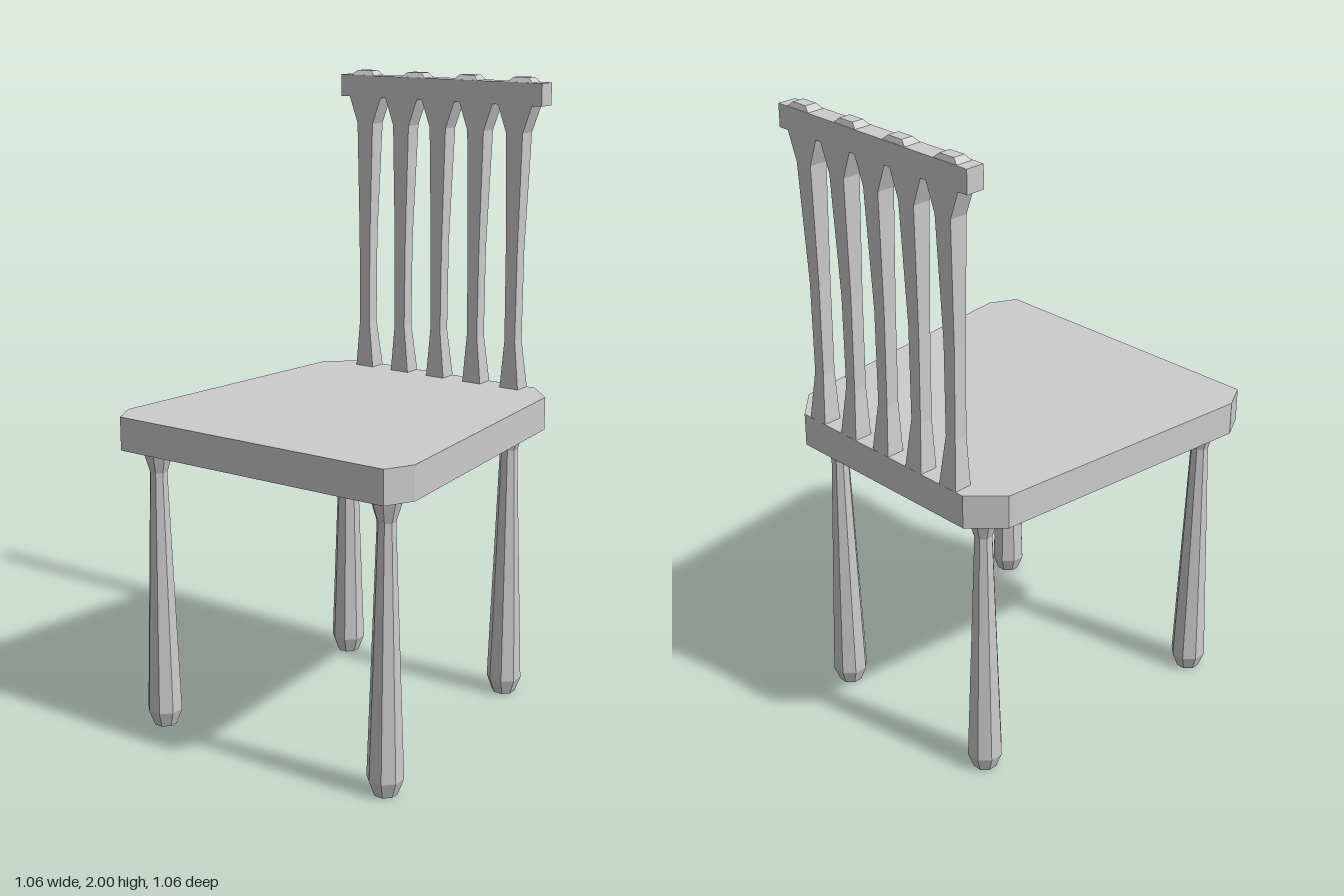
import * as THREE from 'three';

const material = new THREE.MeshStandardMaterial({ color: 0xcccccc, flatShading: true });

function addPart(parent, name, geometry, x = 0, y = 0, z = 0) {
  const mesh = new THREE.Mesh(geometry, material);
  mesh.name = name;
  mesh.position.set(x, y, z);
  parent.add(mesh);
  return mesh;
}

// Tapered plank with chamfered corners
function seatGeometry() {
  const half = [[0.345, -0.527], [0.437, -0.435], [0.528, 0.44], [0.483, 0.527]];
  const outline = [...half, ...half.map(([x, z]) => [-x, z]).reverse()];
  const shape = new THREE.Shape(outline.map(([x, z]) => new THREE.Vector2(x, -z)));
  return new THREE.ExtrudeGeometry(shape, { depth: 0.105, bevelEnabled: false }).rotateX(-Math.PI / 2);
}

// Eight-sided turned leg, flats facing front and side
function legGeometry() {
  const profile = [[0, 0], [0.037, 0], [0.056, 0.05], [0.054, 0.11], [0.028, 0.83], [0.053, 0.912], [0, 0.912]];
  return new THREE.LatheGeometry(profile.map(([r, y]) => new THREE.Vector2(r, y)), 8, Math.PI / 8);
}

// Back slat: straight front, waisted sides and back, flared top
function slatGeometry() {
  // height, half width, back z
  const rings = [[1.01, 0.034, -0.527], [1.17, 0.019, -0.511], [1.46, 0.021, -0.511],
    [1.83, 0.03, -0.526], [1.918, 0.062, -0.527]];
  const geometry = new THREE.BoxGeometry(2, rings.length - 1, 2, 1, rings.length - 1, 1);
  const p = geometry.attributes.position;
  for (let i = 0; i < p.count; i++) {
    const [y, w, back] = rings[Math.round(p.getY(i) + (rings.length - 1) / 2)];
    p.setXYZ(i, p.getX(i) * w, y, p.getZ(i) > 0 ? -0.468 : back);
  }
  geometry.computeVertexNormals();
  return geometry;
}

// Small truncated pyramid on the top rail
function studGeometry() {
  const geometry = new THREE.BoxGeometry(0.1, 0.02, 0.06);
  const p = geometry.attributes.position;
  for (let i = 0; i < p.count; i++) {
    if (p.getY(i) > 0) p.setXYZ(i, p.getX(i) * 0.54, p.getY(i), p.getZ(i) > 0 ? 0.016 : -0.022);
  }
  geometry.computeVertexNormals();
  return geometry;
}

export function createModel() {
  const chair = new THREE.Group();
  chair.name = 'chair';

  addPart(chair, 'seat', seatGeometry(), 0, 0.91, 0);

  // Legs, wider apart at the front
  const leg = legGeometry();
  for (const [side, s] of [['left', 1], ['right', -1]]) {
    addPart(chair, side + 'FrontLeg', leg, s * 0.424, 0, 0.426);
    addPart(chair, side + 'BackLeg', leg, s * 0.317, 0, -0.42);
  }

  // Backrest
  const backrest = new THREE.Group();
  backrest.name = 'backrest';
  chair.add(backrest);
  const slat = slatGeometry();
  for (let i = -2; i <= 2; i++) addPart(backrest, 'backSlat', slat, i * 0.1415);
  addPart(backrest, 'topRail', new THREE.BoxGeometry(0.756, 0.07, 0.06), 0, 1.95, -0.498);
  const stud = studGeometry();
  for (let i = 0; i < 4; i++) addPart(backrest, 'railStud', stud, (i - 1.5) * 0.197, 1.99, -0.498);

  return chair;
}
